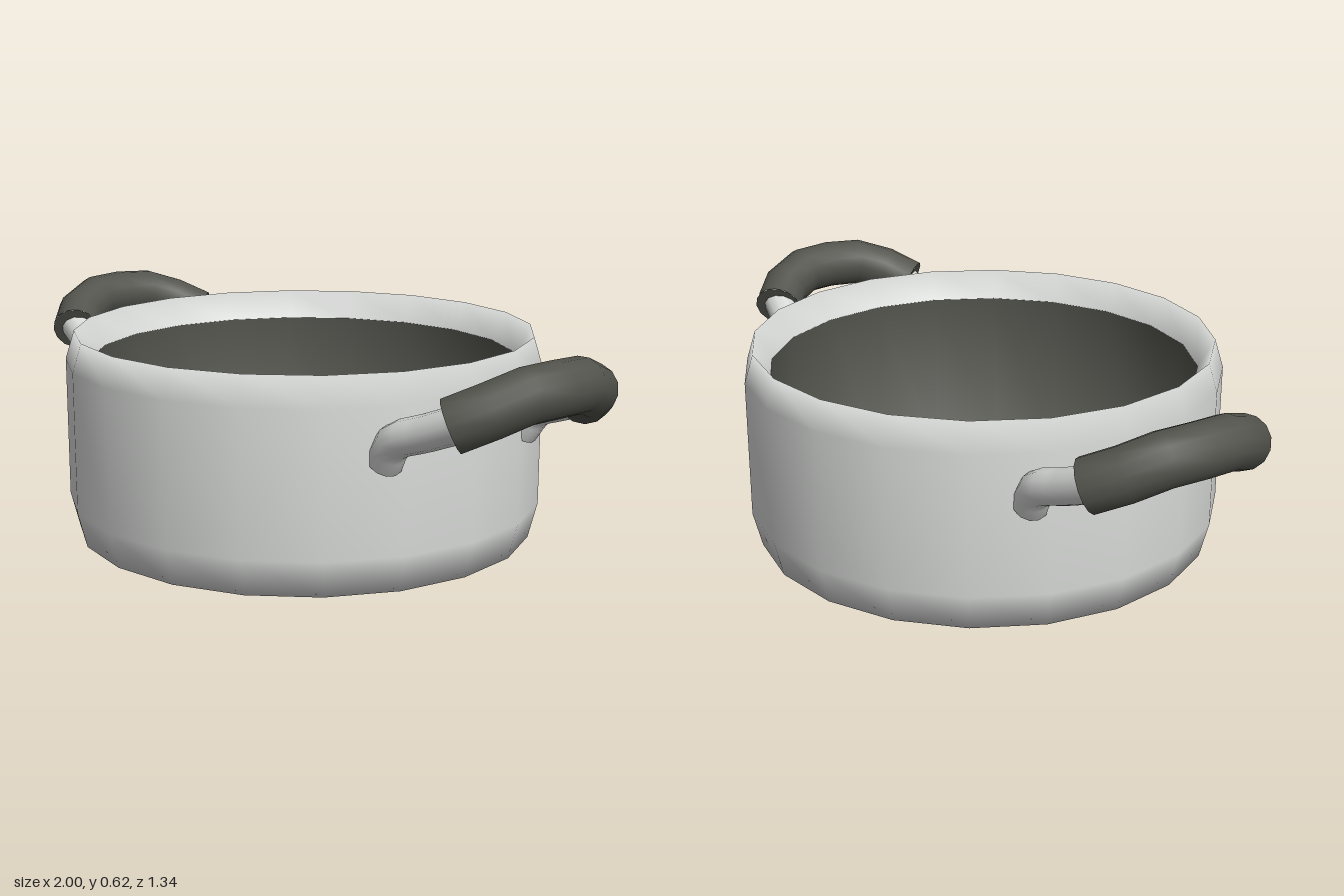
import * as THREE from 'three';

const V = (x, y, z) => new THREE.Vector3(x, y, z);

export function createModel() {
  const steel = new THREE.MeshStandardMaterial({ color: 0xd9dbd9 });
  steel.name = 'light steel';
  const dark = new THREE.MeshStandardMaterial({ color: 0x53534d });
  dark.name = 'dark coating';

  const model = new THREE.Group();
  model.name = 'cookingPot';

  const add = (parent, name, geometry, material) => {
    const mesh = new THREE.Mesh(geometry, material);
    mesh.name = name;
    parent.add(mesh);
    return mesh;
  };
  const lathe = (profile) =>
    new THREE.LatheGeometry(profile.map(([r, y]) => new THREE.Vector2(r, y)), 20);

  // Outer shell with bevelled base and a rim that slopes inwards
  add(model, 'potShell', lathe([
    [0, 0], [0.645, 0], [0.67, 0.1], [0.67, 0.49], [0.645, 0.57], [0.6, 0.49],
  ]), steel);

  // Coated cavity, softly shaded from wall to floor
  add(model, 'potInterior', lathe([[0.6, 0.49], [0.6, 0.02], [0, 0.02]]), dark);

  // One handle: two steel arms and a bent grip with flat ends
  const makeHandle = (name) => {
    const handle = new THREE.Group();
    handle.name = name;

    for (const s of [1, -1]) {
      const arm = new THREE.CatmullRomCurve3([
        V(0.6, 0.345, s * 0.248), V(0.645, 0.408, s * 0.258),
        V(0.74, 0.446, s * 0.245), V(0.85, 0.49, s * 0.225),
      ]);
      add(handle, s > 0 ? 'frontArm' : 'backArm', new THREE.TubeGeometry(arm, 8, 0.047, 12), steel);
    }

    const half = [[0.818, 0.477, 0.24], [0.88, 0.513, 0.185], [0.918, 0.545, 0.1]];
    const grip = new THREE.CatmullRomCurve3([
      ...half.map(([x, y, z]) => V(x, y, z)),
      V(0.929, 0.55, 0),
      ...half.slice().reverse().map(([x, y, z]) => V(x, y, -z)),
    ]);
    add(handle, 'grip', new THREE.TubeGeometry(grip, 6, 0.071, 14), dark);

    // End discs of the grip
    for (const t of [0, 1]) {
      const outward = grip.getTangent(t).multiplyScalar(t ? 1 : -1);
      const cap = add(handle, 'gripEnd', new THREE.CircleGeometry(0.071, 14), dark);
      cap.position.copy(grip.getPoint(t));
      cap.quaternion.setFromUnitVectors(V(0, 0, 1), outward);
    }
    return handle;
  };

  const left = makeHandle('leftHandle');
  const right = makeHandle('rightHandle');
  right.rotation.y = Math.PI;
  model.add(left, right);
  return model;
}
